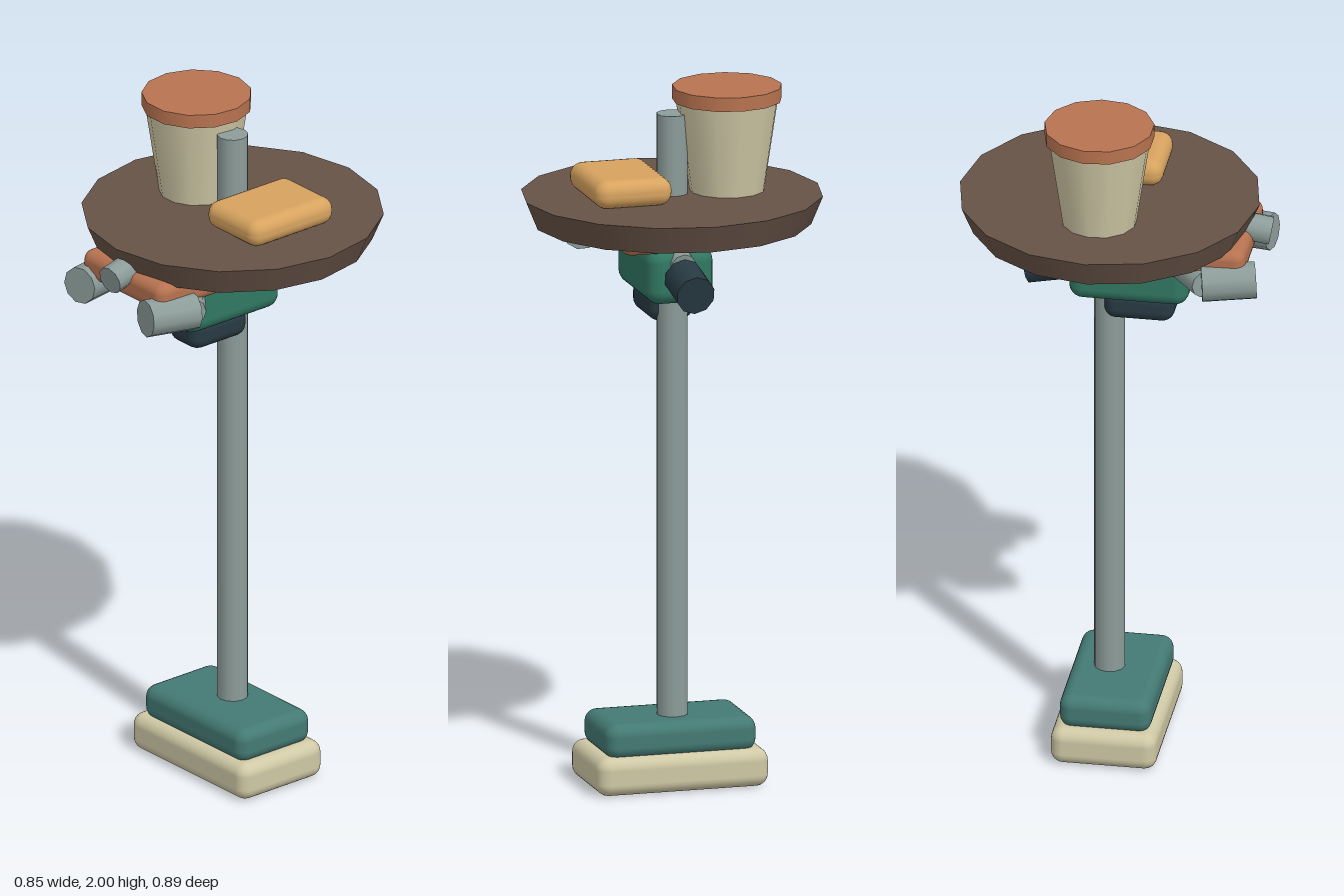
import * as THREE from 'three';
import { RoundedBoxGeometry } from 'three/addons/geometries/RoundedBoxGeometry.js';

const mat = (name, color) => {
  const m = new THREE.MeshStandardMaterial({ color });
  m.name = name;
  return m;
};

export function createModel() {
  const cream = mat('cream', 0xd0c9a6);
  const teal = mat('dusty teal', 0x447a74);
  const green = mat('deep green', 0x317863);
  const steel = mat('grey steel', 0x8d9d9a);
  const dark = mat('dark slate', 0x283a43);
  const orange = mat('terracotta', 0xb87350);
  const brown = mat('dark brown', 0x675347);
  const tan = mat('golden tan', 0xd7a35f);

  const model = new THREE.Group();
  model.name = 'sideTable';

  const add = (name, geometry, material) => {
    const mesh = new THREE.Mesh(geometry, material);
    mesh.name = name;
    model.add(mesh);
    return mesh;
  };

  // Rounded block given by its min and max corners
  const block = (name, material, [x0, y0, z0], [x1, y1, z1], radius) =>
    add(name, new RoundedBoxGeometry(x1 - x0, y1 - y0, z1 - z0, 3, radius), material)
      .position.set((x0 + x1) / 2, (y0 + y1) / 2, (z0 + z1) / 2);

  // Upright round part
  const round = (name, material, rTop, rBottom, y0, y1, x, z, sides) => {
    const mesh = add(name, new THREE.CylinderGeometry(rTop, rBottom, y1 - y0, sides), material);
    mesh.position.set(x, (y0 + y1) / 2, z);
    return mesh;
  };

  // Round bar between two points
  const bar = (name, material, from, to, radius, sides = 10) => {
    const a = new THREE.Vector3(...from), b = new THREE.Vector3(...to);
    const dir = b.clone().sub(a);
    const mesh = add(name, new THREE.CylinderGeometry(radius, radius, dir.length(), sides), material);
    mesh.position.copy(a).add(b).multiplyScalar(0.5);
    mesh.quaternion.setFromUnitVectors(new THREE.Vector3(0, 1, 0), dir.normalize());
  };

  // Stepped foot and pole
  block('footBottom', cream, [-0.25, 0, -0.15], [0.25, 0.11, 0.15], 0.035);
  block('footTop', teal, [-0.22, 0.1, -0.13], [0.22, 0.2, 0.13], 0.035);
  round('pole', steel, 0.044, 0.044, 0.18, 1.93, 0, -0.02, 12);

  // Table top with sloping rim
  round('tableTop', brown, 0.425, 0.392, 1.62, 1.7, 0, -0.02, 16);

  // Cup with lid
  round('cup', cream, 0.146, 0.106, 1.7, 1.965, -0.16, -0.023, 13).rotation.y = Math.PI;
  round('cupLid', orange, 0.155, 0.155, 1.96, 2, -0.16, -0.023, 13).rotation.y = Math.PI;

  // Loaf on the table
  block('loaf', tan, [0.04, 1.7, -0.18], [0.265, 1.78, 0.12], 0.036);

  // Blocks under the table
  block('underPlate', orange, [-0.175, 1.55, -0.135], [0.175, 1.635, 0.39], 0.03);
  block('housing', green, [-0.097, 1.4, -0.125], [0.097, 1.56, 0.215], 0.04);
  block('housingBase', dark, [-0.066, 1.33, -0.03], [0.066, 1.42, 0.17], 0.035);

  // Rear knob on its stub
  bar('rearKnobStub', steel, [0, 1.53, -0.06], [0, 1.515, -0.137], 0.036);
  bar('rearKnob', dark, [0, 1.482, -0.134], [0, 1.458, -0.254], 0.056);

  // Front bars: mirrored handles, cross bar and centre peg
  for (const s of [-1, 1]) {
    bar('handle', steel, [s * 0.178, 1.535, 0.27], [s * 0.144, 1.541, 0.418], 0.054);
    bar('handleArm', steel, [s * 0.04, 1.53, 0.17], [s * 0.182, 1.535, 0.28], 0.04);
  }
  bar('crossBar', steel, [-0.085, 1.53, 0.2], [0.085, 1.53, 0.2], 0.036);
  bar('centrePeg', steel, [0, 1.64, 0.32], [0.011, 1.617, 0.437], 0.041);

  return model;
}
